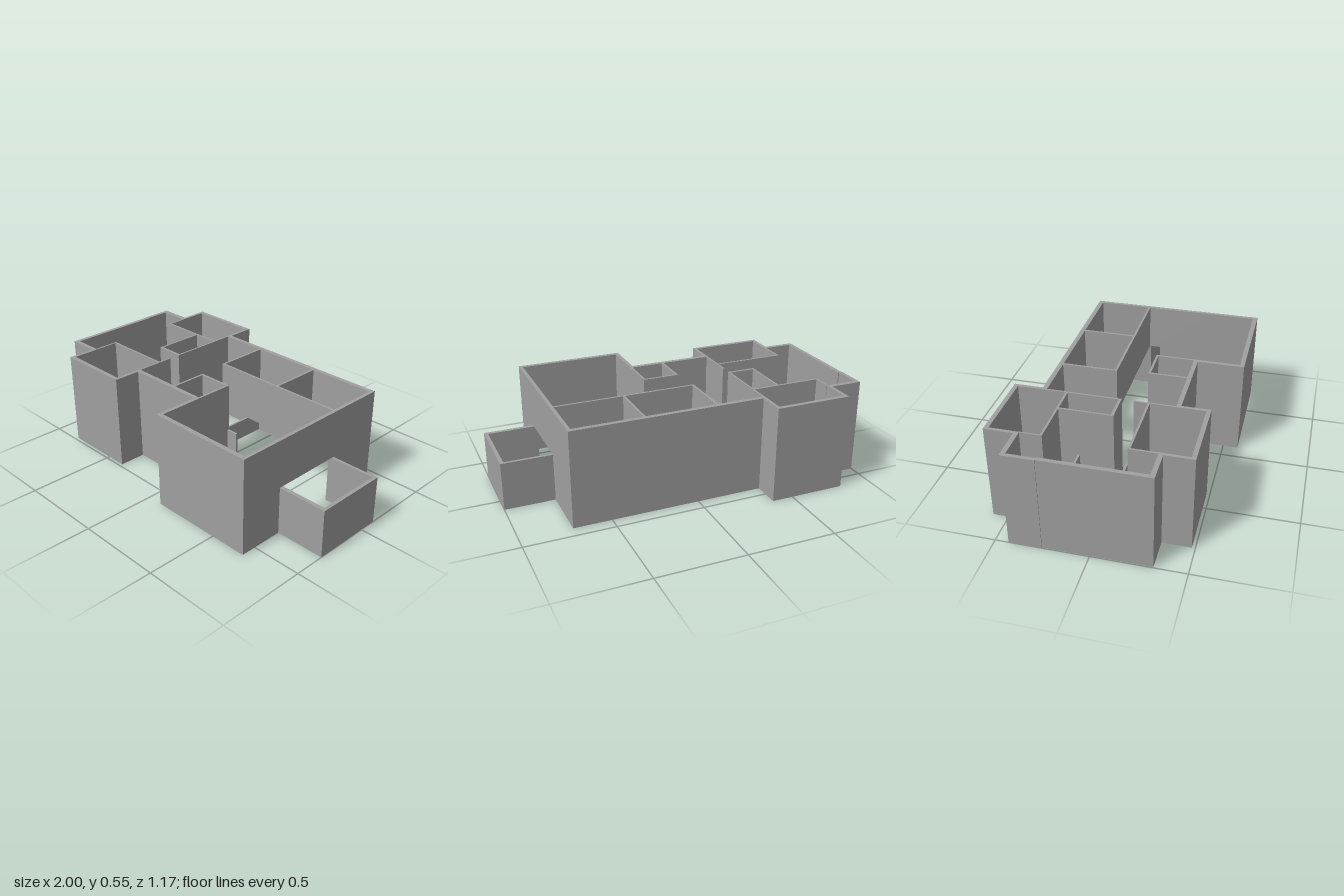
import * as THREE from 'three';

const FULL = 0.55, HALF = 0.275;

export function createModel() {
  const model = new THREE.Group();
  model.name = 'housePlan';
  const plaster = new THREE.MeshStandardMaterial({ color: 0xa0a0a0 });
  plaster.name = 'grey plaster';

  // Wall block given by its plan limits and its height range
  function wall(name, x0, x1, z0, z1, y1 = FULL, y0 = 0) {
    const mesh = new THREE.Mesh(new THREE.BoxGeometry(x1 - x0, y1 - y0, z1 - z0), plaster);
    mesh.name = name;
    mesh.position.set((x0 + x1) / 2, (y0 + y1) / 2, (z0 + z1) / 2);
    model.add(mesh);
  }

  // Outer walls, back
  wall('backWall', -0.378, 0.715, -0.427, -0.401);
  wall('backLeftWall', -1, -0.815, -0.427, -0.401);
  wall('backBayWall', -0.815, -0.378, -0.586, -0.562);
  wall('backBayOuterSide', -0.815, -0.797, -0.562, -0.401);
  wall('backBayInnerSide', -0.396, -0.378, -0.562, -0.401);

  // Outer walls, west end
  wall('endWallBack', -1, -0.979, -0.401, -0.25);
  wall('endWall', -0.996, -0.973, -0.25, 0.325);

  // Outer walls, front
  wall('frontLeftWall', -0.973, -0.815, 0.3, 0.325);
  wall('frontBayWall', -0.815, -0.378, 0.458, 0.482);
  wall('frontBayOuterSide', -0.815, -0.797, 0.3, 0.458);
  wall('frontBayInnerSide', -0.396, -0.378, 0.3, 0.458);
  wall('frontWall', -0.378, 0.09, 0.3, 0.325);
  wall('frontRoomSide', 0.09, 0.112, 0.3, 0.56);
  wall('frontRoomWall', 0.09, 0.715, 0.56, 0.586);

  // East wall with a half-height opening into the low annex
  wall('eastWallBack', 0.695, 0.715, -0.401, -0.083);
  wall('eastWallFront', 0.695, 0.715, 0.302, 0.56);
  wall('eastWallLintel', 0.695, 0.715, -0.083, 0.302, FULL, HALF);

  // Low annex
  wall('annexBack', 0.715, 1, -0.1, -0.083, HALF);
  wall('annexFront', 0.715, 1, 0.302, 0.325, HALF);
  wall('annexEnd', 0.98, 1, -0.083, 0.302, HALF);

  // Back rooms: hanging partitions
  wall('roomFrontPartition', -0.118, 0.695, -0.103, -0.09, FULL, HALF);
  wall('roomDivider', 0.295, 0.308, -0.401, -0.103, FULL, HALF);
  wall('roomSideUpper', -0.118, -0.105, -0.401, -0.103, FULL, HALF);
  wall('roomSideLower', -0.118, -0.105, -0.401, -0.09, 0.12);

  // Entry cupboard and its low counter
  wall('cupboardBack', -0.1, 0.112, 0.083, 0.096);
  wall('cupboardSide', -0.1, -0.088, 0.096, 0.3);
  wall('cupboardSide', 0.1, 0.112, 0.096, 0.3);
  wall('counter', 0.112, 0.18, 0.083, 0.096, HALF);

  // Bay rooms: full-height partitions
  wall('hallWallBack', -0.396, -0.386, -0.401, 0.01);
  wall('hallWallFront', -0.396, -0.386, 0.075, 0.3);
  wall('backBayPartition', -0.803, -0.396, -0.295, -0.283);
  wall('backBaySide', -0.803, -0.795, -0.401, -0.283);
  wall('frontBayPartition', -0.808, -0.396, 0.15, 0.162);
  wall('frontBaySide', -0.808, -0.797, 0.15, 0.3);
  wall('closetSide', -0.553, -0.542, -0.283, 0.01);
  wall('closetFront', -0.553, -0.386, -0.006, 0.01);

  // Low partitions across the large west room
  wall('lowPartitionBack', -0.975, -0.396, -0.19, -0.178, HALF);
  wall('lowPartitionFront', -0.975, -0.396, 0.075, 0.088, HALF);
  wall('lowSideBack', -0.803, -0.795, -0.283, -0.19, HALF);
  wall('lowSideFront', -0.808, -0.797, 0.088, 0.15, HALF);

  return model;
}
